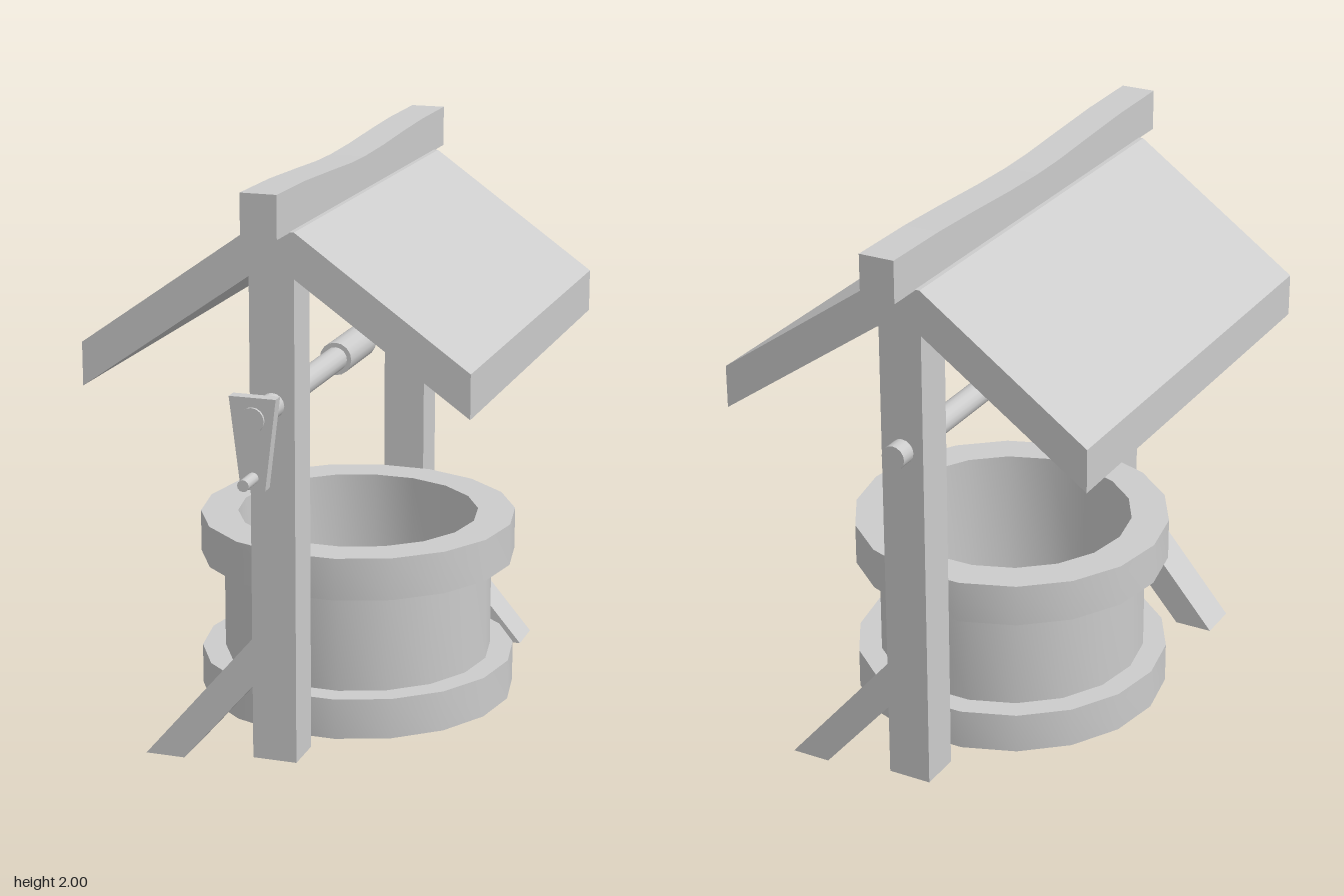
import * as THREE from 'three';
import { toCreasedNormals } from 'three/addons/utils/BufferGeometryUtils.js';

const material = new THREE.MeshStandardMaterial({ color: 0xcccccc });

export function createModel() {
  const model = new THREE.Group();
  model.name = 'wishingWell';

  const add = (name, geometry, x = 0, y = 0, z = 0) => {
    const mesh = new THREE.Mesh(geometry, material);
    mesh.name = name;
    mesh.position.set(x, y, z);
    model.add(mesh);
    return mesh;
  };

  // Flat outline in x/y, extruded from z0 to z1
  const slab = (points, z0, z1) => {
    const shape = new THREE.Shape(points.map(([x, y]) => new THREE.Vector2(x, y)));
    const geometry = new THREE.ExtrudeGeometry(shape, { depth: z1 - z0, bevelEnabled: false });
    return geometry.translate(0, 0, z0);
  };

  // Round bar along z
  const bar = (name, radius, y, z0, z1, sides = 16) => {
    const geometry = new THREE.CylinderGeometry(radius, radius, z1 - z0, sides).rotateX(Math.PI / 2);
    return add(name, geometry, 0, y, (z0 + z1) / 2);
  };

  // Hollow round basin with a base ring and a top rim
  const basinProfile = [
    [0, 0.035], [0.563, 0.035], [0.563, 0.18], [0.48, 0.18], [0.48, 0.54],
    [0.563, 0.54], [0.563, 0.69], [0.43, 0.69], [0.43, 0.18], [0, 0.18],
  ].map(([r, y]) => new THREE.Vector2(r, y));
  const basin = new THREE.LatheGeometry(basinProfile, 18, Math.PI / 2);
  add('basin', toCreasedNormals(basin, 0.7), 0.033, 0, -0.07);

  // Posts, each with a slanted brace; the two braces lean opposite ways
  for (const [end, z0, z1, side] of [['front', 0.575, 0.725, -1], ['back', -0.87, -0.72, 1]]) {
    add(end + 'Post', new THREE.BoxGeometry(0.155, 1.67, z1 - z0), 0, 0.87, (z0 + z1) / 2);
    const brace = [[0.07, 0.47], [0.07, 0.30], [0.33, 0], [0.47, 0]].map(([x, y]) => [x * side, y]);
    add(end + 'Brace', slab(brace, z0, z1));
  }

  // Gable roof with thick slopes
  add('roof', slab([
    [-0.67, 1.29], [-0.078, 1.705], [0.078, 1.705], [0.67, 1.29],
    [0.67, 1.44], [0.078, 1.858], [-0.078, 1.858], [-0.67, 1.44],
  ], -0.875, 0.725));

  // Ridge beam with a sagging top: outline in z/y, extruded across x
  const ridge = slab([
    [-1, 1.855], [0.84, 1.855], [0.84, 2], [0.57, 1.997], [0.3, 1.985], [0.1, 1.975],
    [-0.05, 1.973], [-0.25, 1.978], [-0.5, 1.99], [-0.72, 1.998], [-1, 2],
  ], -0.062, 0.062);
  add('ridgeBeam', ridge.rotateY(-Math.PI / 2));

  // Winding gear: axle, drum, crank and handle
  bar('axle', 0.042, 1.28, -0.93, 0.92);
  bar('drum', 0.058, 1.28, -0.195, 0.085);
  add('crank', slab([[-0.042, 1.045], [0.042, 1.045], [0.08, 1.353], [-0.08, 1.353]], 0.868, 0.91));
  bar('crankHandle', 0.02, 1.085, 0.88, 1, 12);

  return model;
}
